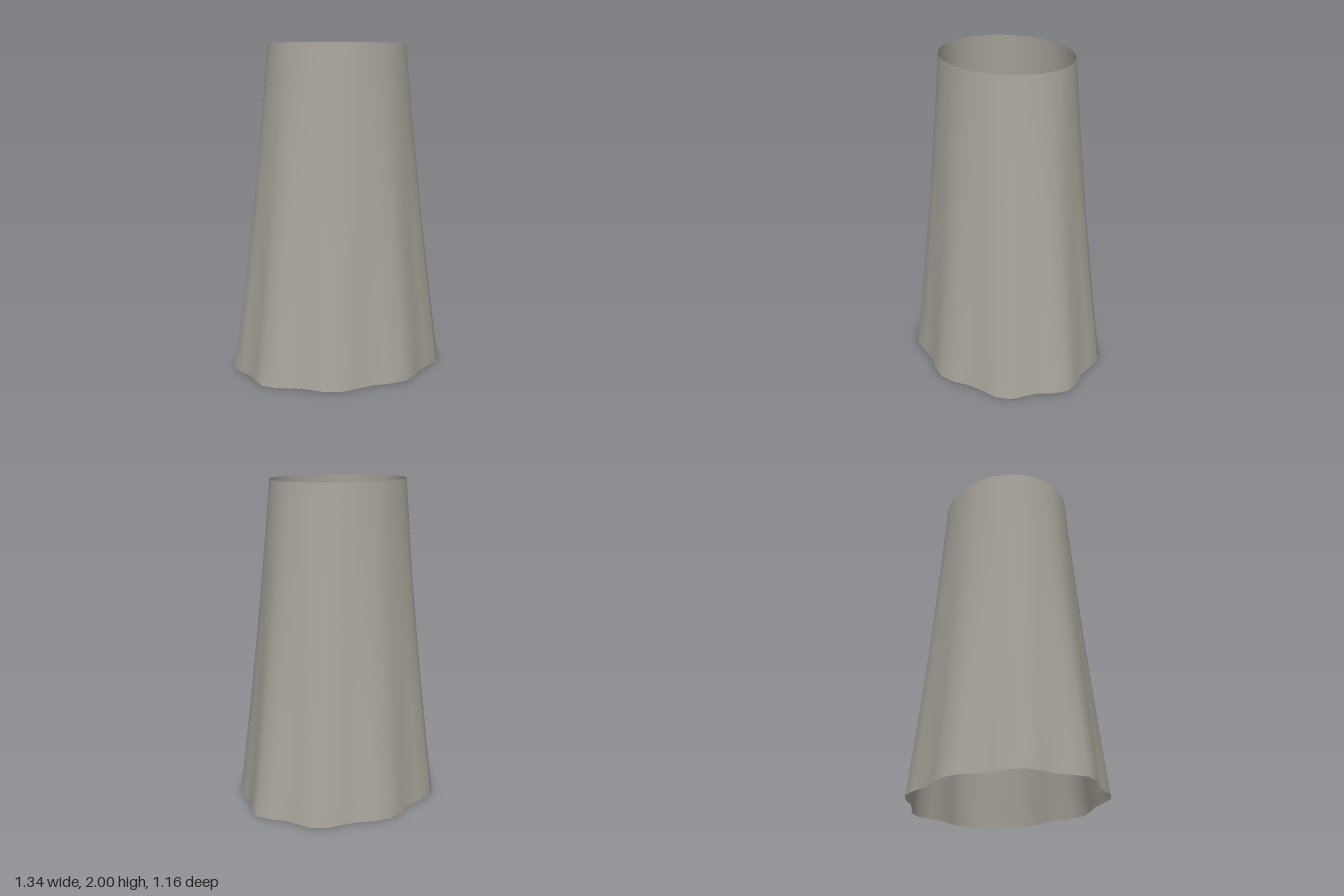
import * as THREE from 'three';

const SEGMENTS = 40, ROWS = 16, HEIGHT = 2, LOBES = 9;

// Open tapering wall: an elliptical rim at the top, flaring into a lobed hem
function wallGeometry() {
  const positions = [], indices = [];
  for (let row = 0; row <= ROWS; row++) {
    const drop = 1 - row / ROWS; // 1 at the hem, 0 at the rim
    const flare = drop - 0.2 * drop * (1 - drop);
    const rx = 0.44 + 0.2175 * flare;
    const rz = 0.385 + 0.179 * flare;
    for (let i = 0; i < SEGMENTS; i++) {
      const angle = (i / SEGMENTS) * Math.PI * 2;
      const wave = 1 + 0.042 * drop * Math.cos(LOBES * angle);
      positions.push(
        -0.02 + rx * wave * Math.cos(angle),
        HEIGHT * (1 - drop),
        -rz * wave * Math.sin(angle));
      if (row < ROWS) {
        const next = (i + 1) % SEGMENTS;
        const a = row * SEGMENTS + i, b = row * SEGMENTS + next;
        indices.push(a, b, b + SEGMENTS, a, b + SEGMENTS, a + SEGMENTS);
      }
    }
  }
  const geometry = new THREE.BufferGeometry();
  geometry.setAttribute('position', new THREE.Float32BufferAttribute(positions, 3));
  geometry.setIndex(indices);
  geometry.computeVertexNormals();
  return geometry;
}

export function createModel() {
  const cloth = new THREE.MeshStandardMaterial({ color: 0xa9a59b, side: THREE.DoubleSide });
  cloth.name = 'warm grey';
  const wall = new THREE.Mesh(wallGeometry(), cloth);
  wall.name = 'flaredSleeve';
  const group = new THREE.Group();
  group.name = 'flaredTube';
  group.add(wall);
  return group;
}
